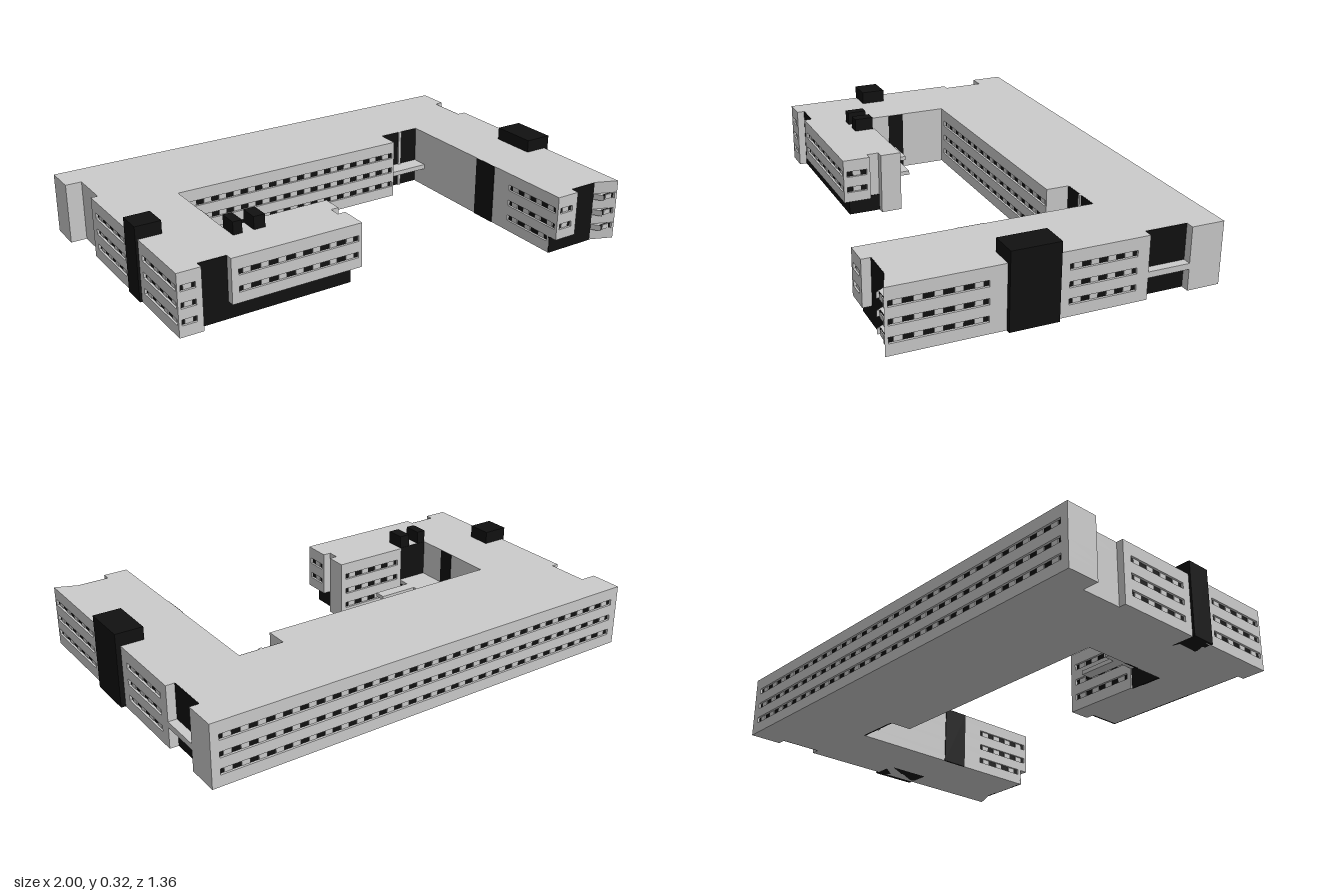
import * as THREE from 'three';
import { mergeGeometries } from 'three/addons/utils/BufferGeometryUtils.js';

const H = 0.265;          // roof height
const DEPTH = 0.012;      // window band recess
const FLOOR = 0.073;      // top of the undercut ground floor

const grey = new THREE.MeshStandardMaterial({ color: 0xcccccc });
const black = new THREE.MeshStandardMaterial({ color: 0x111111 });

function box(x0, x1, y0, y1, z0, z1) {
  const g = new THREE.BoxGeometry(Math.abs(x1 - x0), y1 - y0, Math.abs(z1 - z0));
  return g.translate((x0 + x1) / 2, (y0 + y1) / 2, (z0 + z1) / 2);
}

// Plan corners [x, z, ...window spans along the wall that starts there]
function plan(ground) {
  const rightFront = ground
    ? [[0.88, 0.635], [0.645, 0.635, [0.62, 0.37]]]
    : [[0.88, 0.635], [0.75, 0.635], [0.75, 0.675, [0.725, 0.66]], [0.645, 0.675, [0.66, 0.37]]];
  const leftFront = ground
    ? [[-0.2, 0.405]]
    : [[-0.2, 0.32], [-0.165, 0.32, [0.335, 0.425]], [-0.165, 0.44, [-0.18, -0.71]], [-0.74, 0.44], [-0.74, 0.405]];
  return [
    [-1, -0.68, [-0.965, 0.945]],
    [0.98, -0.68], [0.98, -0.54], [0.94, -0.54], [0.94, -0.36],
    [0.98, -0.36, [-0.31, -0.03], [0.285, 0.662]],
    [0.98, 0.675, [0.967, 0.905]],
    ...rightFront,
    [0.645, -0.31], [0.45, -0.31], [0.45, -0.21, [0.44, -0.61]],
    [-0.64, -0.21], [-0.64, 0.19], [-0.5, 0.19], [-0.5, 0.18, [-0.48, -0.19]],
    [-0.165, 0.18], [-0.165, 0.27], [-0.2, 0.27],
    ...leftFront,
    [-0.86, 0.405], [-0.86, 0.44, [-0.885, -0.947]],
    [-0.96, 0.44, [0.427, 0.14], [-0.03, -0.32]],
    [-0.96, -0.36], [-0.93, -0.36], [-0.93, -0.54], [-1, -0.54],
  ];
}

// One storey slice; window slices get recessed bands, dark backs and panes
function slice(y0, y1, ground, windows, out) {
  const pts = [], corners = plan(ground);
  corners.forEach(([x, z, ...spans], i) => {
    const next = corners[(i + 1) % corners.length];
    const dx = Math.sign(next[0] - x), dz = Math.sign(next[1] - z);
    const nx = dz, nz = -dx; // outward direction
    const at = (t, d) => (dx ? [t, z - nz * d] : [x - nx * d, t]);
    pts.push([x, z]);
    if (!windows) return;
    for (const [a, b] of spans) {
      pts.push(at(a, 0), at(a, DEPTH), at(b, DEPTH), at(b, 0));
      const slab = (t0, t1, d0, d1, v0, v1) => {
        const p = at(t0, d0), q = at(t1, d1);
        return box(p[0], q[0], v0, v1, p[1], q[1]);
      };
      out.bands.push(slab(a, b, DEPTH + 0.002, DEPTH - 0.002, y0, y1));
      const n = Math.max(1, Math.round(Math.abs(b - a) / 0.072));
      for (let k = 0; k < n; k++) {
        const c = a + ((b - a) * (k + 0.5)) / n;
        out.panes.push(slab(c - 0.017, c + 0.017, DEPTH, DEPTH - 0.006, y0 + 0.002, y1 - 0.002));
      }
    }
  });
  const shape = new THREE.Shape(pts.map(([x, z]) => new THREE.Vector2(x, -z)));
  const g = new THREE.ExtrudeGeometry(shape, { depth: y1 - y0, bevelEnabled: false });
  out.walls.push(g.rotateX(-Math.PI / 2).translate(0, y0, 0));
}

export function createModel() {
  const model = new THREE.Group();
  model.name = 'buildingComplex';
  const add = (name, material, geometries) => {
    const mesh = new THREE.Mesh(mergeGeometries(geometries), material);
    mesh.name = name;
    model.add(mesh);
  };

  // Walls and three rows of windows
  const out = { walls: [], bands: [], panes: [] };
  const levels = [0, 0.048, FLOOR, 0.117, 0.142, 0.188, 0.213, H];
  for (let i = 0; i < levels.length - 1; i++) {
    slice(levels[i], levels[i + 1], i < 2, i % 2 === 1, out);
  }
  add('walls', grey, out.walls);
  add('windowBands', black, out.bands);
  add('windowPanes', grey, out.panes);

  // Dark stair towers on the outer walls
  add('rightStairTower', black, [box(0.88, 1, 0, 0.32, 0.015, 0.217)]);
  add('leftStairTower', black, [box(-0.97, -0.86, 0, 0.32, 0.005, 0.11)]);

  // Pair of rooftop shafts above the courtyard entrance
  add('rooftopShafts', black, [
    box(-0.64, -0.6, 0.2, 0.32, 0.188, 0.27),
    box(-0.55, -0.5, 0.2, 0.32, 0.188, 0.27),
  ]);

  // Dark glazing in the recesses and on the undercut ground floor
  const e = 0.003, top = H - 0.0005;
  add('recessGlazing', black, [
    box(0.75, 0.88, 0, top, 0.63, 0.635 + e),
    box(-0.86, -0.74, 0, top, 0.4, 0.405 + e),
    box(0.45, 0.645, 0, top, -0.315, -0.31 + e),
    box(0.935, 0.94 + e, 0, top, -0.54, -0.36),
    box(0.645 - e, 0.65, 0, top, 0.15, 0.27),
    box(-0.645, -0.64 + e, 0, top, -0.01, 0.06),
    box(-0.64, -0.5, 0, top, 0.19 - e, 0.195),
  ]);
  add('groundFloorGlazing', black, [
    box(0.645, 0.75, 0, FLOOR, 0.63, 0.635 + e),
    box(-0.74, -0.2, 0, FLOOR, 0.4, 0.405 + e),
    box(-0.205, -0.2 + e, 0, FLOOR, 0.27, 0.405 + e),
  ]);

  // Entrance canopies and the column at the inner corner
  add('innerEntranceCanopy', grey, [box(0.45, 0.645, 0.085, 0.106, -0.31, -0.23)]);
  add('entranceColumn', grey, [box(0.542, 0.556, 0, H, -0.31, -0.3)]);
  add('sideEntranceCanopy', grey, [box(0.94, 0.98, 0.09, 0.115, -0.54, -0.36)]);
  add('courtyardCanopy', grey, [
    box(-0.64, -0.5, 0.088, 0.106, 0.03, 0.19),
    box(-0.5, -0.325, 0.088, 0.106, 0.08, 0.13),
  ]);
  return model;
}
